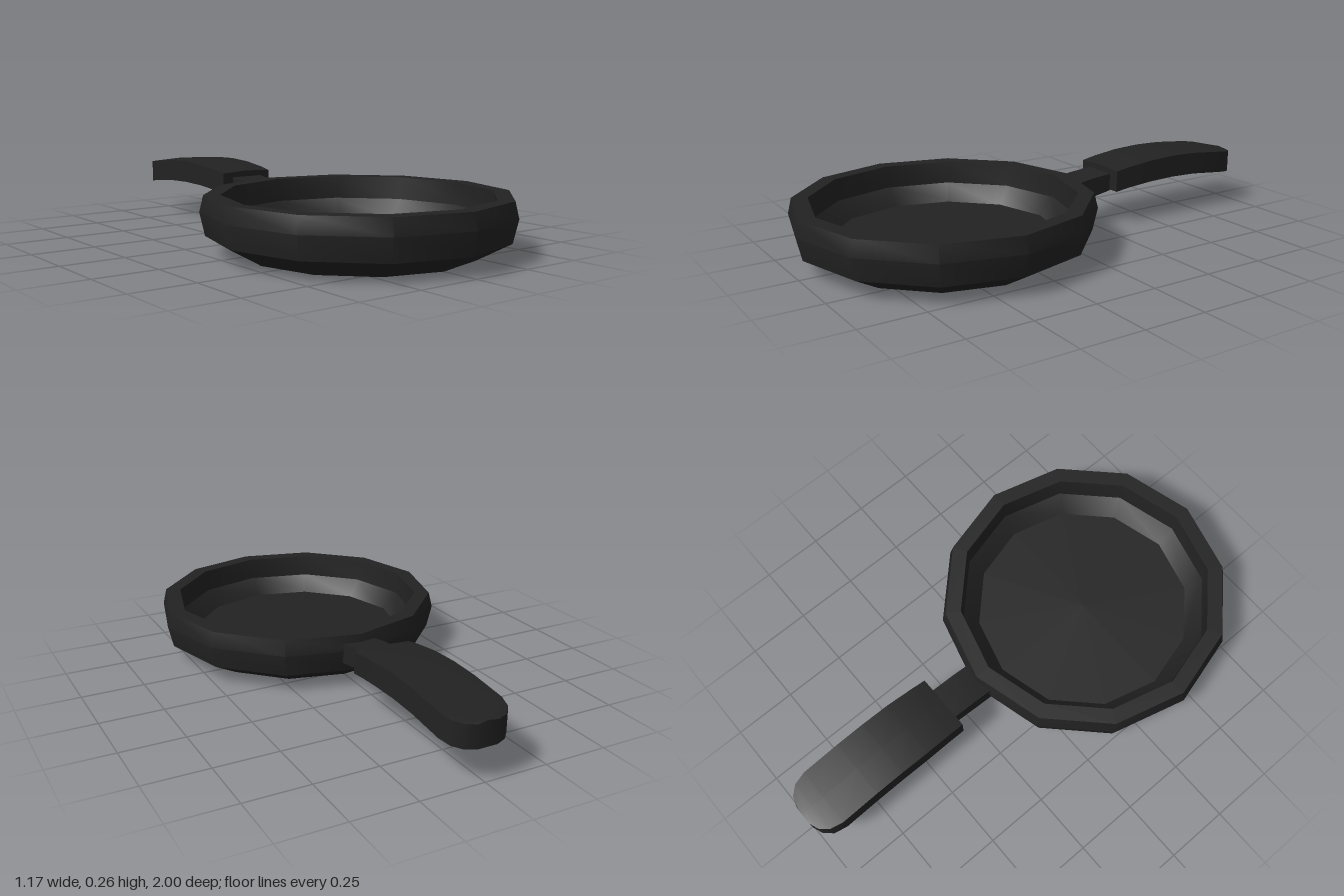
import * as THREE from 'three';
import { toCreasedNormals } from 'three/addons/utils/BufferGeometryUtils.js';

const CREASE = THREE.MathUtils.degToRad(35);

// Joins cross-sections [z, halfWidth, bottom, top], listed front to back; crown lifts the top centre.
function loft(rows, crown) {
  const position = [], index = [], n = 5;
  for (const [z, w, b, t] of rows) {
    position.push(-w, b, z, w, b, z, w, t - crown, z, 0, t, z, -w, t - crown, z);
  }
  for (let i = 0; i < rows.length - 1; i++) {
    for (let k = 0; k < n; k++) {
      const a = i * n + k, b = i * n + (k + 1) % n;
      index.push(a, b + n, b, a, a + n, b + n);
    }
  }
  const last = (rows.length - 1) * n;
  for (let k = 1; k < n - 1; k++) {
    index.push(0, k, k + 1, last, last + k + 1, last + k);
  }
  const geometry = new THREE.BufferGeometry();
  geometry.setAttribute('position', new THREE.Float32BufferAttribute(position, 3));
  geometry.setIndex(index);
  return toCreasedNormals(geometry, CREASE);
}

export function createModel() {
  const group = new THREE.Group();
  group.name = 'fryingPan';
  const iron = new THREE.MeshStandardMaterial({ color: 0x222222 });
  iron.name = 'blackIron';

  const add = (name, geometry) => {
    const mesh = new THREE.Mesh(geometry, iron);
    mesh.name = name;
    group.add(mesh);
    return mesh;
  };

  // Twelve-sided bowl: underside, outer wall, flat rim, inner wall and floor
  const profile = [
    [0, 0], [0.44, 0], [0.567, 0.07], [0.587, 0.158], [0.572, 0.22],
    [0.51, 0.22], [0.503, 0.13], [0.44, 0.063], [0, 0.063],
  ].map(([r, y]) => new THREE.Vector2(r, y));
  const bowl = add('bowl', toCreasedNormals(new THREE.LatheGeometry(profile, 12), CREASE));
  bowl.position.z = 0.413;

  // Narrow neck joining the bowl to the grip
  add('neck', loft([
    [-0.12, 0.07, 0.105, 0.182],
    [-0.22, 0.07, 0.12, 0.2],
    [-0.36, 0.07, 0.145, 0.213],
  ], 0));

  // Arched grip with a rounded end
  add('grip', loft([
    [-0.325, 0.117, 0.143, 0.235],
    [-0.39, 0.119, 0.152, 0.246],
    [-0.5, 0.123, 0.162, 0.258],
    [-0.62, 0.123, 0.165, 0.263],
    [-0.74, 0.123, 0.161, 0.259],
    [-0.9, 0.123, 0.145, 0.243],
    [-0.952, 0.11, 0.138, 0.235],
    [-0.985, 0.08, 0.133, 0.229],
    [-1, 0.04, 0.13, 0.226],
  ], 0.006));

  return group;
}
